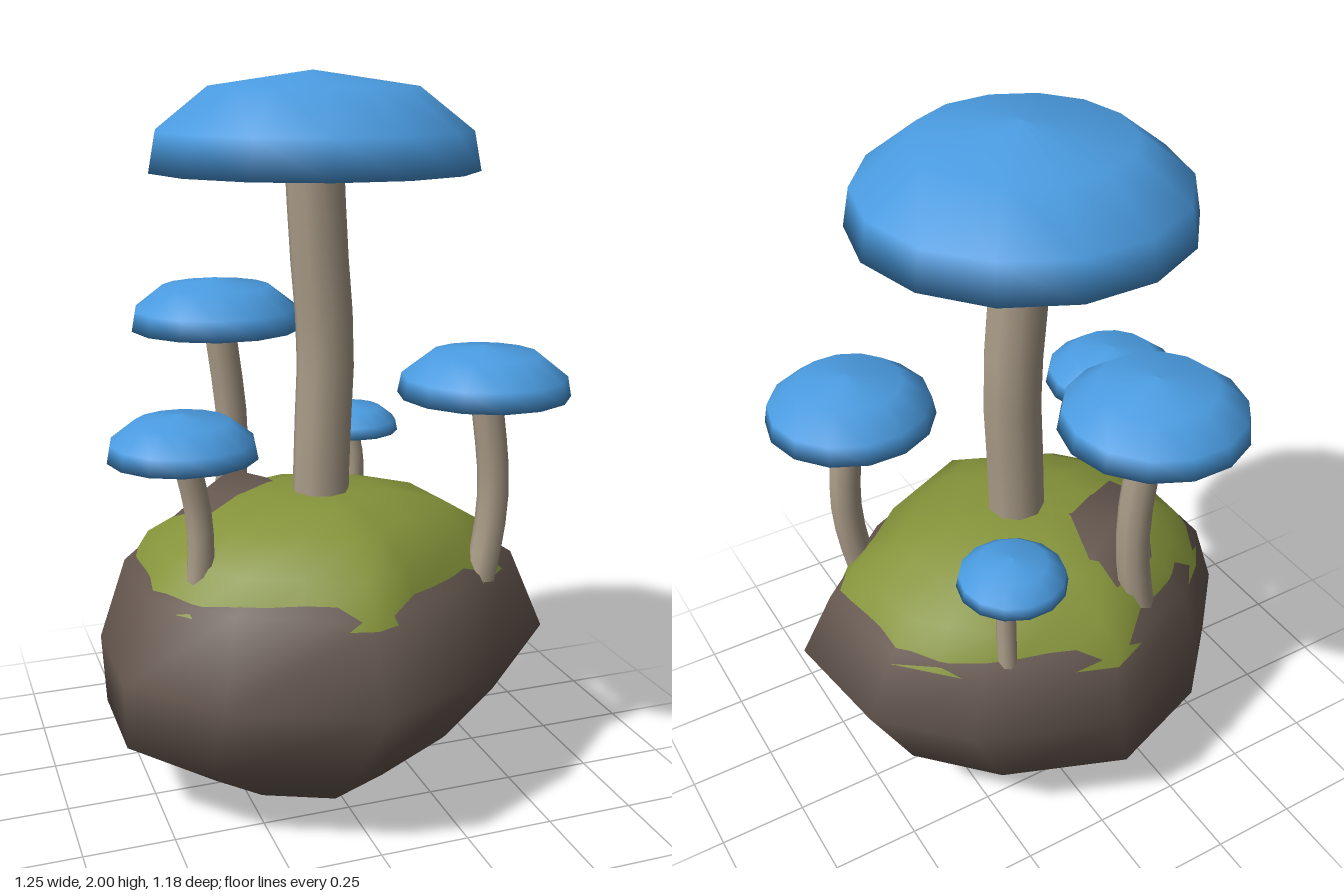
import * as THREE from 'three';
import { mergeVertices } from 'three/addons/utils/BufferGeometryUtils.js';

const mat = (name, color) => {
  const m = new THREE.MeshStandardMaterial({ color });
  m.name = name;
  return m;
};

// Uneven ten-sided plan of the boulder, as [x, z], from the front round by the left
const PLAN = [[-0.02, 0.59], [0.33, 0.43], [0.62, 0.18], [0.57, -0.16], [0.36, -0.38],
  [-0.02, -0.53], [-0.38, -0.4], [-0.61, -0.16], [-0.61, 0.18], [-0.4, 0.42]];

function planPoint(t) {
  const n = PLAN.length, i = Math.floor(t), f = t - i;
  const a = PLAN[i % n], b = PLAN[(i + 1) % n];
  return [a[0] + (b[0] - a[0]) * f, a[1] + (b[1] - a[1]) * f];
}

// Smooth skin over scaled copies of the plan; rows run bottom to top as
// { y, s: scale, dx, dz }, and tweak(row, side) may return { y, s } offsets
function planShell(rows, sides, tweak) {
  const pos = [], index = [];
  rows.forEach((row, r) => {
    for (let i = 0; i < sides; i++) {
      const [x, z] = planPoint(i * PLAN.length / sides);
      const t = row.s > 0 ? tweak(r, i) : { y: 0, s: 0 };
      const s = row.s + t.s;
      pos.push(x * s + (row.dx || 0), row.y + t.y, z * s + (row.dz || 0));
      if (r === rows.length - 1) continue;
      const a = r * sides + i, b = r * sides + (i + 1) % sides;
      if (row.s > 0) index.push(a, b, b + sides);
      if (rows[r + 1].s > 0) index.push(a, b + sides, a + sides);
      else if (row.s > 0) continue;
    }
  });
  const g = new THREE.BufferGeometry();
  g.setAttribute('position', new THREE.Float32BufferAttribute(pos, 3));
  g.setIndex(index);
  const merged = mergeVertices(g);
  merged.computeVertexNormals();
  return merged;
}

// Domed cap with a flat underside
function capGeometry(r) {
  const h = r * 0.575;
  const profile = [[0, 0], [1, 0], [0.955, 0.4], [0.63, 0.84], [0, 1]]
    .map(([x, y]) => new THREE.Vector2(x * r, y * h));
  return new THREE.LatheGeometry(profile, 14, Math.PI / 2);
}

// Gently bent stem through the given points
function stemGeometry(points, radius) {
  const curve = new THREE.CatmullRomCurve3(points.map(p => new THREE.Vector3(...p)));
  return new THREE.TubeGeometry(curve, 7, radius, 9);
}

export function createModel() {
  const group = new THREE.Group();
  const blue = mat('cap blue', 0x4a9be0);
  const beige = mat('stem beige', 0xaa9c88);
  const brown = mat('rock brown', 0x665850);
  const green = mat('moss green', 0x85933a);

  const add = (parent, name, geometry, material) => {
    const m = new THREE.Mesh(geometry, material);
    m.name = name;
    parent.add(m);
    return m;
  };

  // Boulder, with two shoulders raised at the back right so they break through the moss
  const raised = { 6: 0.08, 7: 0.06 };
  add(group, 'boulder', planShell([
    { y: 0, s: 0, dx: -0.02 },
    { y: 0.06, s: 0.49, dx: -0.045 },
    { y: 0.23, s: 0.89, dx: -0.055, dz: -0.03 },
    { y: 0.44, s: 1 },
    { y: 0.66, s: 0.87, dz: -0.03 },
    { y: 0.8, s: 0.52, dz: -0.02 },
    { y: 0.85, s: 0 },
  ], 10, (r, i) => ({ y: r === 5 ? raised[i] || 0 : 0, s: 0 })), brown);

  // Moss blanket, its wavy hem dipping into the boulder
  add(group, 'moss', planShell([
    { y: 0.63, s: 0.88, dz: -0.03 },
    { y: 0.745, s: 0.76, dz: -0.03 },
    { y: 0.82, s: 0.56, dz: -0.02 },
    { y: 0.865, s: 0.3 },
    { y: 0.872, s: 0 },
  ], 20, (r, i) => {
    const wave = Math.cos(i * 1.885) + 0.6 * Math.sin(i * 2.51 + 1);
    return r === 0 ? { y: 0.01 * wave, s: 0.018 * wave } : { y: 0, s: 0 };
  }), green);

  // Mushrooms: cap centre and radius, stem path and radius
  const mushrooms = [
    { name: 'mainMushroom', cap: [-0.02, 1.75, 0], r: 0.44, sr: 0.08,
      stem: [[0, 0.78, 0], [0.005, 1.0, 0], [0.015, 1.27, 0], [-0.005, 1.55, 0], [-0.018, 1.8, 0]] },
    { name: 'backRightMushroom', cap: [-0.2, 1.28, -0.35], r: 0.25, sr: 0.047,
      stem: [[-0.19, 0.64, -0.36], [-0.165, 0.8, -0.35], [-0.16, 0.98, -0.345], [-0.195, 1.31, -0.35]] },
    { name: 'frontLeftMushroom', cap: [0.385, 1.165, 0.23], r: 0.232, sr: 0.044,
      stem: [[0.39, 0.64, 0.235], [0.415, 0.78, 0.235], [0.422, 0.92, 0.235], [0.39, 1.19, 0.23]] },
    { name: 'frontRightMushroom', cap: [-0.43, 1.05, 0.17], r: 0.196, sr: 0.036,
      stem: [[-0.4, 0.66, 0.17], [-0.39, 0.78, 0.17], [-0.395, 0.9, 0.165], [-0.43, 1.07, 0.17]] },
    { name: 'backLeftMushroom', cap: [0.22, 0.935, -0.35], r: 0.145, sr: 0.027,
      stem: [[0.24, 0.64, -0.36], [0.238, 0.75, -0.35], [0.235, 0.84, -0.345], [0.215, 0.95, -0.35]] },
  ];
  for (const m of mushrooms) {
    const g = new THREE.Group();
    g.name = m.name;
    add(g, 'stem', stemGeometry(m.stem, m.sr), beige);
    add(g, 'cap', capGeometry(m.r), blue).position.set(...m.cap);
    group.add(g);
  }
  return group;
}
